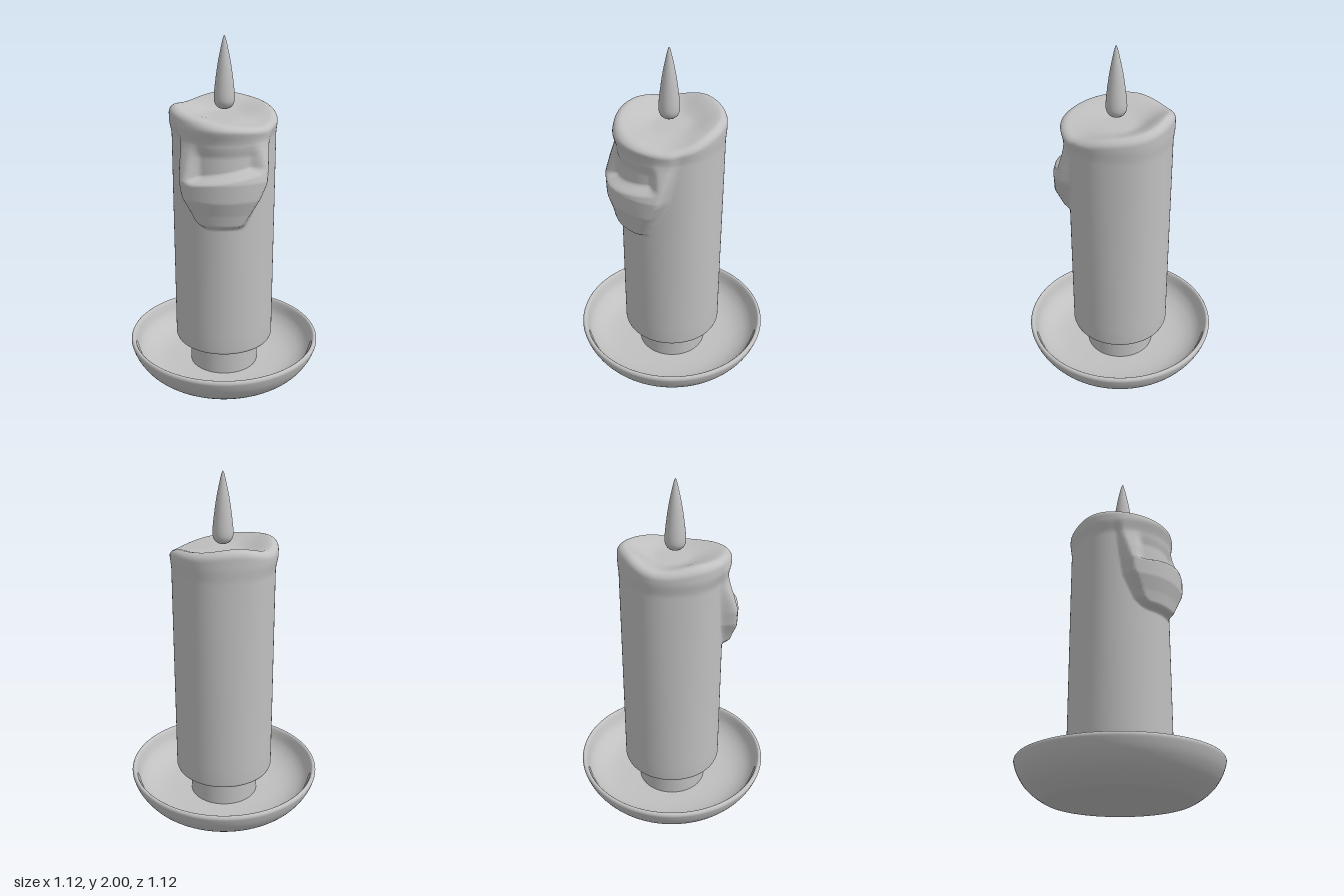
import * as THREE from 'three';
import { mergeVertices } from 'three/addons/utils/BufferGeometryUtils.js';

const stone = new THREE.MeshStandardMaterial({ color: 0xc0c0c0 });
stone.name = 'plain grey';

const step = THREE.MathUtils.smoothstep;
const V = (p) => new THREE.Vector2(p[0], p[1]);

// Smooth lookup of y for x in a short list of [x, y] pairs
function curve(pairs, x) {
  if (x <= pairs[0][0]) return pairs[0][1];
  for (let i = 1; i < pairs.length; i++) {
    const [x0, y0] = pairs[i - 1], [x1, y1] = pairs[i];
    if (x <= x1) return y0 + (y1 - y0) * (x - x0) / (x1 - x0);
  }
  return pairs[pairs.length - 1][1];
}

// Periodic Catmull-Rom height of the melted rim; angle 0 is the front, then +x, back, -x
const RIM = [1.58, 1.555, 1.6, 1.63, 1.655, 1.615, 1.635, 1.615];
function rimHeight(angle) {
  const n = RIM.length;
  const t = ((angle / (Math.PI * 2)) * n + n) % n;
  const i = Math.floor(t), f = t - i;
  const [a, b, c, d] = [-1, 0, 1, 2].map((k) => RIM[(i + k + n) % n]);
  return b + 0.5 * f * (c - a + f * (2 * a - 5 * b + 4 * c - d + f * (3 * (b - c) + d - a)));
}

// Wax that has run down the front: thickness, and its left and right borders by height
const RUN = [[1.0, 0.03], [1.03, 0.04], [1.1, 0.055], [1.18, 0.08], [1.28, 0.083], [1.36, 0.06], [1.45, 0.03], [1.53, 0.01], [1.58, 0]];
const LEFT = [[1.0, -0.5], [1.06, -0.72], [1.2, -0.92], [1.5, -1.08]];
const RIGHT = [[1.0, 0.32], [1.1, 0.52], [1.25, 0.76], [1.5, 0.98]];
function waxRun(u, y) {
  const l = curve(LEFT, y), r = curve(RIGHT, y);
  const side = step(u, l, l + 0.18) * (1 - step(u, r - 0.22, r));
  const bottom = step(y, 1.0, 1.04);
  // Hollow pocket behind the lower lip
  const lip = 1.265 + 0.05 * (u + 0.6);
  const pocket = step(y, lip, lip + 0.035) * (1 - step(y, 1.4, 1.5))
    * step(u, -0.72, -0.5) * (1 - step(u, 0.38, 0.6));
  return curve(RUN, y) * side * bottom * (1 - 0.8 * pocket);
}

function candleGeometry() {
  const R = 0.286, TOP = 1.6;
  const pts = [[0, 0.23], [0.27, 0.23], [0.281, 0.236], [R, 0.25]];
  for (let y = 0.35; y < 0.96; y += 0.1) pts.push([R, y]);
  for (let i = 0; i <= 80; i++) pts.push([R, 0.97 + i * 0.0074]);
  // Rounded rim, then the pool of wax
  for (let i = 1; i <= 8; i++) {
    const a = (i / 8) * Math.PI / 2;
    pts.push([R - 0.04 * (1 - Math.cos(a)), 1.562 + 0.038 * Math.sin(a)]);
  }
  const edge = R - 0.04;
  for (let i = 1; i <= 16; i++) pts.push([edge * (1 - i / 16), TOP]);
  const g = new THREE.LatheGeometry(pts.map(V), 160);
  const p = g.attributes.position;
  for (let i = 0; i < p.count; i++) {
    const x = p.getX(i), z = p.getZ(i), r = Math.hypot(x, z);
    let y = p.getY(i);
    if (r < 1e-5) {
      if (y > 1) p.setY(i, 1.57);
      continue;
    }
    const u = Math.atan2(x, z), front = Math.max(0, Math.cos(u));
    // Melted rim, sinking smoothly to the pool
    const rim = rimHeight(u);
    if (y > TOP - 1e-4 && r < edge + 1e-4) {
      y = THREE.MathUtils.lerp(1.57, rim, step(r, edge * 0.35, edge * 1.1));
    } else {
      y += (THREE.MathUtils.lerp(1.57, rim, step(edge, edge * 0.35, edge * 1.1)) - TOP) * step(y, 1.4, TOP);
    }
    // Flared lip at the front and left, slight unevenness, and the run of wax
    const flare = step(y, 1.47, 1.56) * (0.005 + 0.03 * front * front + 0.008 * Math.max(0, -Math.sin(u)));
    const uneven = 0.003 * Math.cos(5 * u + 0.6) * step(y, 0.3, 1.5);
    const outer = step(r, 0.1, R);
    const k = (r + outer * (flare + uneven + (r > edge ? waxRun(u, y) : 0))) / r;
    p.setXYZ(i, x * k, y, z * k);
  }
  g.deleteAttribute('uv');
  g.deleteAttribute('normal');
  const merged = mergeVertices(g, 1e-5);
  merged.computeVertexNormals();
  return merged;
}

function add(group, name, geometry) {
  const mesh = new THREE.Mesh(geometry, stone);
  mesh.name = name;
  group.add(mesh);
  return mesh;
}

const smoothLathe = (pts, rows, sides) =>
  new THREE.LatheGeometry(new THREE.SplineCurve(pts.map(V)).getPoints(rows), sides);

export function createModel() {
  const model = new THREE.Group();
  model.name = 'candle in a dish';

  // Round dish with a rolled rim
  add(model, 'dish', smoothLathe([
    [0, 0], [0.2, 0.002], [0.36, 0.009], [0.42, 0.03], [0.49, 0.083], [0.535, 0.145], [0.557, 0.2],
    [0.558, 0.22], [0.548, 0.229], [0.533, 0.218], [0.505, 0.15], [0.45, 0.1], [0.36, 0.07], [0.2, 0.06], [0, 0.06],
  ], 80, 96));

  // Short stem holding the candle above the dish
  const stem = add(model, 'stem', new THREE.CylinderGeometry(0.2, 0.2, 0.19, 64));
  stem.position.y = 0.145;

  add(model, 'candle', candleGeometry());

  // Teardrop flame
  const flame = add(model, 'flame', smoothLathe([
    [0, 1.607], [0.03, 1.614], [0.05, 1.635], [0.057, 1.67], [0.05, 1.75],
    [0.036, 1.85], [0.018, 1.94], [0.007, 1.985], [0, 2],
  ], 48, 40));
  flame.position.z = 0.02;

  return model;
}
